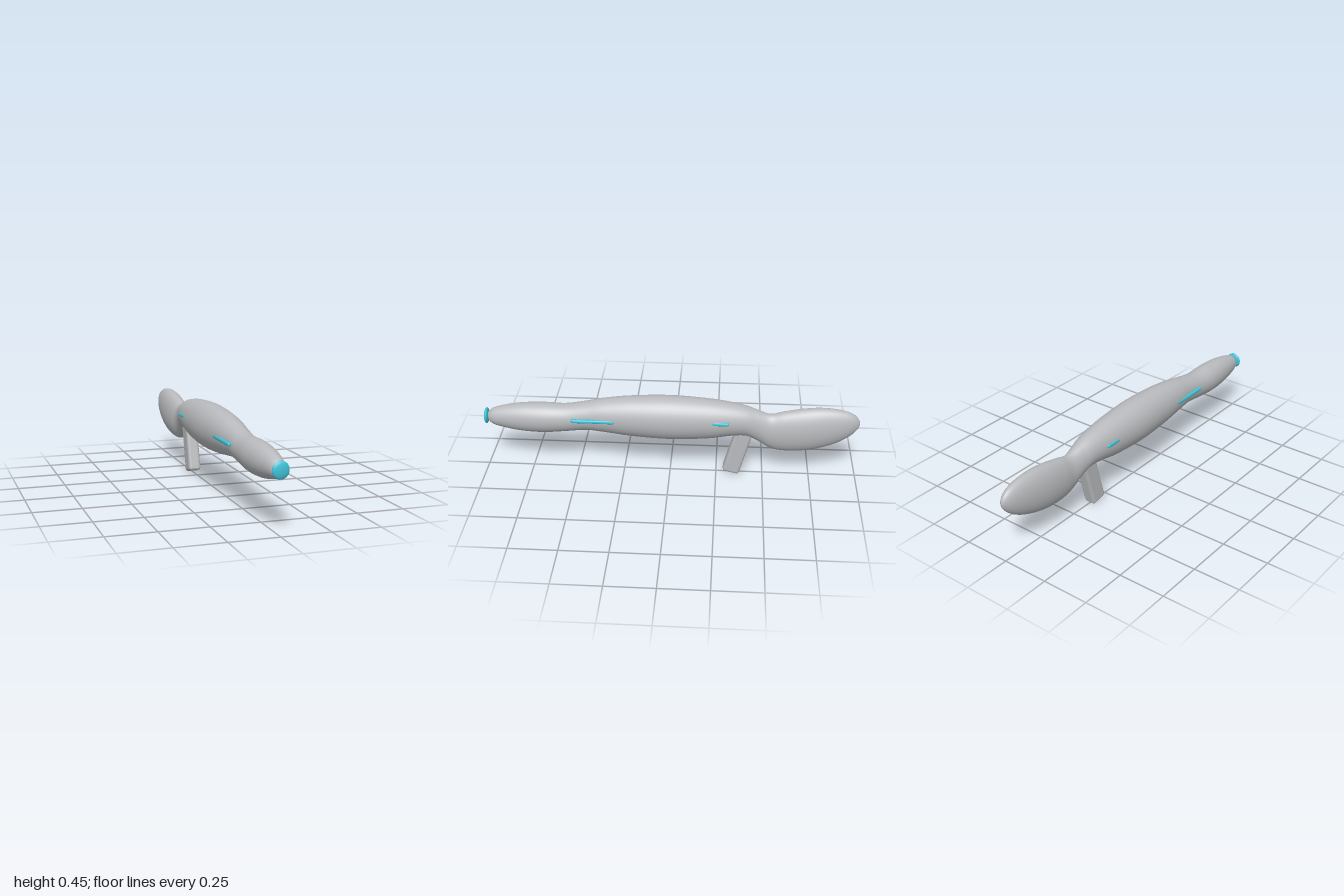
import * as THREE from 'three';
import { RoundedBoxGeometry } from 'three/addons/geometries/RoundedBoxGeometry.js';

// Hull stations from nose to tail: [z, top, bottom, half width]
const STATIONS = [
  [0.985, 0.305, 0.305, 0],
  [0.96, 0.343, 0.263, 0.034],
  [0.9, 0.365, 0.243, 0.051],
  [0.8, 0.383, 0.226, 0.066],
  [0.68, 0.389, 0.221, 0.073],
  [0.56, 0.387, 0.231, 0.068],
  [0.45, 0.405, 0.243, 0.07],
  [0.35, 0.426, 0.235, 0.08],
  [0.2, 0.444, 0.217, 0.092],
  [0, 0.452, 0.207, 0.099],
  [-0.2, 0.441, 0.217, 0.09],
  [-0.32, 0.425, 0.236, 0.078],
  [-0.4, 0.408, 0.239, 0.067],
  [-0.46, 0.388, 0.212, 0.056],
  [-0.53, 0.366, 0.167, 0.05],
  [-0.6, 0.382, 0.151, 0.057],
  [-0.7, 0.402, 0.154, 0.062],
  [-0.8, 0.411, 0.175, 0.058],
  [-0.9, 0.402, 0.216, 0.046],
  [-0.97, 0.375, 0.269, 0.027],
  [-1, 0.325, 0.325, 0],
];

// Station lookup; beyond each tip the profile folds over so the ends stay round
function station(i) {
  const last = STATIONS.length - 1;
  if (i >= 0 && i <= last) return STATIONS[i];
  const [z, top, bottom, w] = STATIONS[i < 0 ? -i : 2 * last - i];
  return [z, bottom, top, -w];
}

function sample(i, t) {
  const p = [-1, 0, 1, 2].map((k) => station(i + k));
  return [0, 1, 2, 3].map((c) => {
    const [a, b, d, e] = p.map((s) => s[c]);
    return b + 0.5 * t * (d - a + t * (2 * a - 5 * b + 4 * d - e + t * (3 * (b - d) + e - a)));
  });
}

// Loft of elliptical cross-sections
function hullGeometry(steps = 8, sides = 48) {
  const positions = [], index = [];
  const rings = (STATIONS.length - 1) * steps;
  for (let r = 0; r <= rings; r++) {
    const i = Math.min(Math.floor(r / steps), STATIONS.length - 2);
    const [z, top, bottom, w] = sample(i, r / steps - i);
    for (let s = 0; s < sides; s++) {
      const a = (s / sides) * Math.PI * 2;
      positions.push(Math.cos(a) * w, (top + bottom) / 2 + (Math.sin(a) * (top - bottom)) / 2, z);
      if (r === rings) continue;
      const p = r * sides + s, q = r * sides + ((s + 1) % sides);
      index.push(p, p + sides, q, q, p + sides, q + sides);
    }
  }
  const g = new THREE.BufferGeometry();
  g.setAttribute('position', new THREE.Float32BufferAttribute(positions, 3));
  g.setIndex(index);
  g.computeVertexNormals();
  return g;
}

export function createModel() {
  const model = new THREE.Group();
  model.name = 'model';
  const grey = new THREE.MeshStandardMaterial({ color: 0xb8babd });
  grey.name = 'grey shell';
  const cyan = new THREE.MeshStandardMaterial({ color: 0x3fc3d8 });
  cyan.name = 'cyan glow';

  const add = (name, geometry, material, x, y, z) => {
    const mesh = new THREE.Mesh(geometry, material);
    mesh.name = name;
    mesh.position.set(x, y, z);
    model.add(mesh);
    return mesh;
  };

  // Smooth hull: barrel, body and stock in one flowing form
  add('hull', hullGeometry(), grey, 0, 0, 0);

  // Raked grip under the rear of the body
  const grip = add('grip', new RoundedBoxGeometry(0.068, 0.28, 0.092, 4, 0.016), grey, 0, 0.144, -0.364);
  grip.rotation.x = -0.26;

  // Muzzle lens
  const lens = add('muzzleLens', new THREE.SphereGeometry(1, 40, 24), cyan, 0, 0.304, 0.987);
  lens.scale.set(0.042, 0.043, 0.013);

  // Light strips half sunk into both flanks
  for (const side of [-1, 1]) {
    const label = side > 0 ? 'left' : 'right';
    add(label + 'FrontStrip', new RoundedBoxGeometry(0.019, 0.019, 0.24, 3, 0.007), cyan, side * 0.076, 0.33, 0.4);
    add(label + 'RearStrip', new RoundedBoxGeometry(0.019, 0.019, 0.12, 3, 0.007), cyan, side * 0.078, 0.341, -0.253);
  }
  return model;
}
